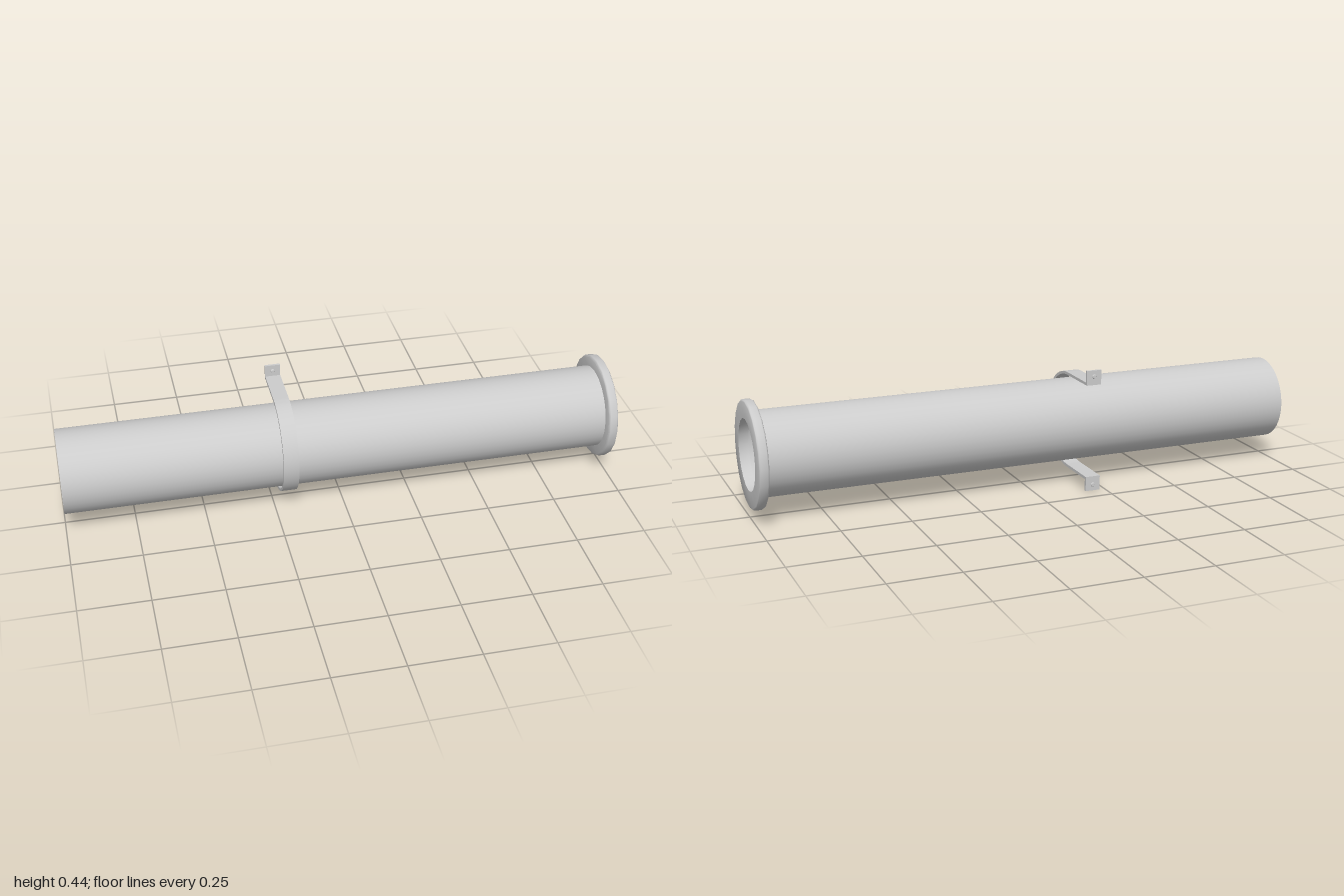
import * as THREE from 'three';
import { toCreasedNormals } from 'three/addons/utils/BufferGeometryUtils.js';

const CENTER_Y = 0.222;
const STRAP_X = -0.203;
const STRAP_WIDTH = 0.055;

export function createModel() {
  const model = new THREE.Group();
  const grey = new THREE.MeshStandardMaterial({ color: 0xcccccc });
  const thin = new THREE.MeshStandardMaterial({ color: 0xcccccc, side: THREE.DoubleSide });

  function add(name, geometry, material, x, y, z) {
    const mesh = new THREE.Mesh(geometry, material);
    mesh.name = name;
    mesh.position.set(x, y, z);
    model.add(mesh);
    return mesh;
  }

  // Thin open pipe along x
  const pipe = new THREE.CylinderGeometry(0.15, 0.15, 1.97, 40, 1, true).rotateZ(-Math.PI / 2);
  add('pipe', pipe, thin, -0.015, CENTER_Y, 0);

  // End flange: bevelled ring, turned around x
  const profile = [
    [0.126, 0.965], [0.184, 0.965], [0.188, 0.967], [0.19, 0.971],
    [0.19, 0.994], [0.188, 0.998], [0.184, 1], [0.126, 1], [0.126, 0.965],
  ].map(([r, x]) => new THREE.Vector2(r, x));
  const flange = toCreasedNormals(new THREE.LatheGeometry(profile, 20), 0.85).rotateZ(-Math.PI / 2);
  add('flange', flange, thin, 0, CENTER_Y, 0);

  // U-shaped strap with outward tabs, drawn in (-z, y) and extruded along x
  const outer = 0.179, inner = 0.169, bend = 0.018, back = 0.187, tabFront = 0.178, tip = 0.222;
  const outline = new THREE.Shape();
  outline.moveTo(back, inner);
  outline.lineTo(back, tip);
  outline.lineTo(tabFront, tip);
  outline.lineTo(tabFront, outer);
  outline.lineTo(bend, outer);
  outline.absarc(bend, 0, outer, Math.PI / 2, Math.PI * 1.5, false);
  outline.lineTo(tabFront, -outer);
  outline.lineTo(tabFront, -tip);
  outline.lineTo(back, -tip);
  outline.lineTo(back, -inner);
  outline.lineTo(bend, -inner);
  outline.absarc(bend, 0, inner, Math.PI * 1.5, Math.PI / 2, true);
  outline.closePath();
  const strap = new THREE.ExtrudeGeometry(outline, {
    depth: STRAP_WIDTH, bevelEnabled: false, curveSegments: 24,
  });
  strap.translate(0, 0, -STRAP_WIDTH / 2).rotateY(Math.PI / 2);
  add('strap', toCreasedNormals(strap, 0.5), grey, STRAP_X, CENTER_Y, 0);

  // Rivet through each tab, with a chamfered head on both sides
  const rivetProfile = [
    [0, -0.01], [0.006, -0.01], [0.008, -0.007], [0.008, 0.007], [0.006, 0.01], [0, 0.01],
  ].map(([r, z]) => new THREE.Vector2(r, z));
  const rivet = toCreasedNormals(new THREE.LatheGeometry(rivetProfile, 12), 0.6).rotateX(Math.PI / 2);
  for (const [name, side] of [['upperRivet', 1], ['lowerRivet', -1]]) {
    add(name, rivet, grey, STRAP_X, CENTER_Y + side * 0.2, -0.181);
  }

  return model;
}
